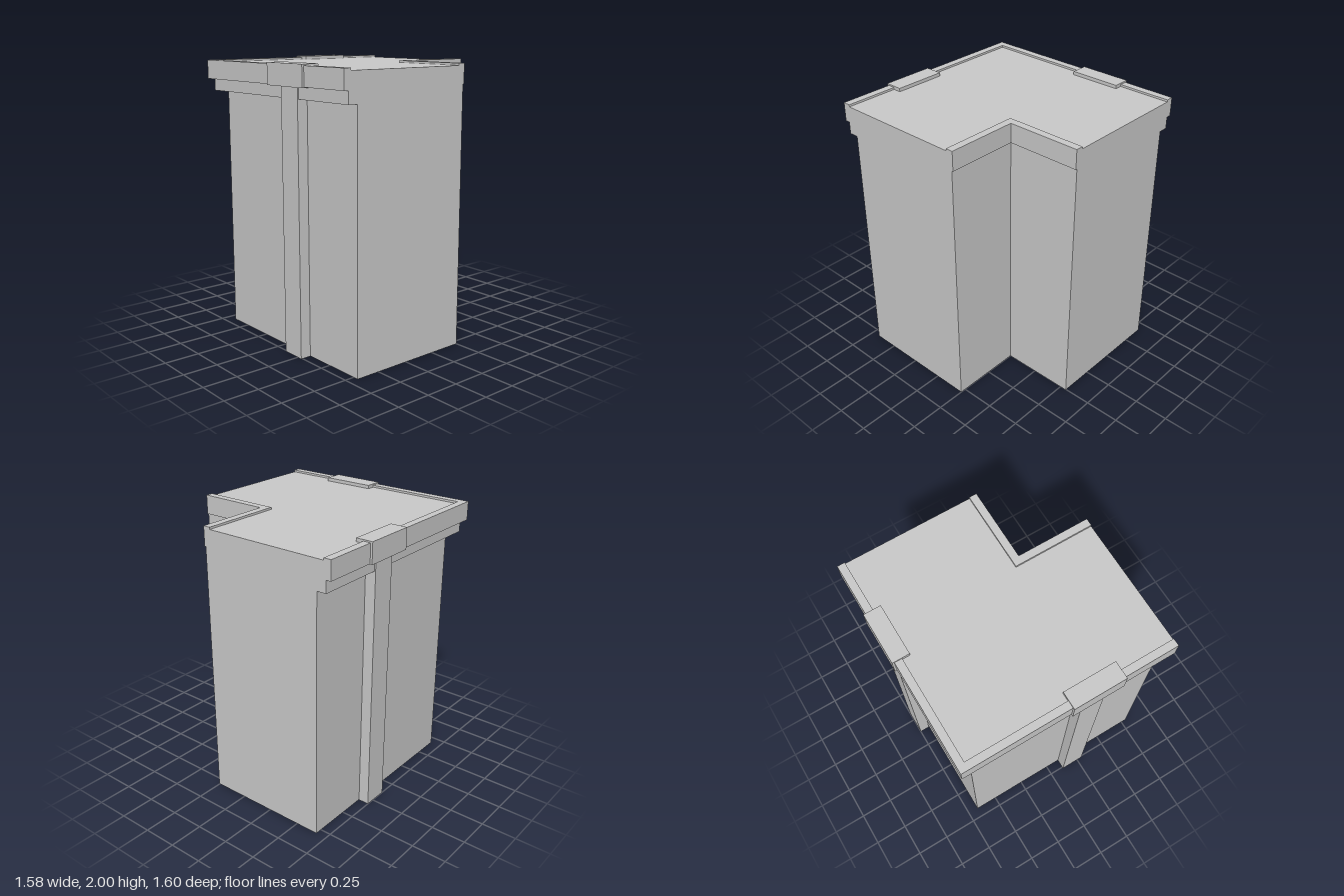
import * as THREE from 'three';

const material = new THREE.MeshStandardMaterial({ color: 0xcccccc, flatShading: true, side: THREE.DoubleSide });
const ROOF = 1.975;

// Wall and cornice profiles: [distance outward from the wall, height]
const street = [[0, 0], [0, 1.77], [0.07, 1.77], [0.07, 1.855], [0.105, 1.855], [0.105, 1.99], [0.05, 1.99], [0.05, ROOF]];
const court = [[0, 0], [0, 1.85], [0.01, 1.85], [0.01, 1.99], [-0.045, 1.99], [-0.045, ROOF]];

// Wall lines: [x, z, outward x, outward z], mitred at the corner
const streetPath = [[-0.67, -0.8, -1, 0], [-0.67, 0.68, -1, 1], [0.79, 0.68, 0, 1]];
const courtPath = [[0.79, -0.25, 0, -1], [0.255, -0.25, 1, -1], [0.255, -0.8, 1, 0]];

function add(group, name, geometry) {
  const mesh = new THREE.Mesh(geometry, material);
  mesh.name = name;
  group.add(mesh);
  return mesh;
}

// Sweeps a profile along a wall line
function sweep(profile, path) {
  const pos = [];
  const point = (i, j) => {
    const [x, z, ox, oz] = path[i];
    const [d, y] = profile[j];
    return [x + ox * d, y, z + oz * d];
  };
  for (let i = 0; i < path.length - 1; i++) {
    for (let j = 0; j < profile.length - 1; j++) {
      const a = point(i, j), b = point(i + 1, j), c = point(i + 1, j + 1), d = point(i, j + 1);
      pos.push(...a, ...b, ...c, ...a, ...c, ...d);
    }
  }
  const geometry = new THREE.BufferGeometry();
  geometry.setAttribute('position', new THREE.Float32BufferAttribute(pos, 3));
  geometry.computeVertexNormals();
  return geometry;
}

// Flat end wall between two profiles standing at -left and +right
function endWall(leftProfile, left, rightProfile, right) {
  const points = [
    ...leftProfile.map(([d, y]) => new THREE.Vector2(-left - d, y)),
    ...rightProfile.map(([d, y]) => new THREE.Vector2(right + d, y)).reverse(),
  ];
  return new THREE.ShapeGeometry(new THREE.Shape(points));
}

function box(group, name, [x0, x1], [y0, y1], [z0, z1]) {
  const mesh = add(group, name, new THREE.BoxGeometry(x1 - x0, y1 - y0, z1 - z0));
  mesh.position.set((x0 + x1) / 2, (y0 + y1) / 2, (z0 + z1) / 2);
}

export function createModel() {
  const group = new THREE.Group();
  group.name = 'cornerBuilding';

  // Outer and inner walls with their cornices
  add(group, 'streetWalls', sweep(street, streetPath));
  add(group, 'courtyardWalls', sweep(court, courtPath));

  // Plain end walls of the two wings
  const side = add(group, 'sideEndWall', endWall(street, 0.68, court, 0.25));
  side.rotation.y = Math.PI / 2;
  side.position.x = 0.79;
  const back = add(group, 'backEndWall', endWall(court, 0.255, street, 0.67));
  back.rotation.y = Math.PI;
  back.position.z = -0.8;

  // L-shaped roof, drawn with shape y = -z
  const outline = [[-0.72, -0.73], [0.79, -0.73], [0.79, 0.205], [0.21, 0.205], [0.21, 0.8], [-0.72, 0.8]];
  const roof = add(group, 'roof', new THREE.ShapeGeometry(new THREE.Shape(outline.map(p => new THREE.Vector2(...p)))));
  roof.rotation.x = -Math.PI / 2;
  roof.position.y = ROOF;

  // Pilasters and the blocks that crown them
  box(group, 'frontPilaster', [0.11, 0.29], [0, 1.852], [0.682, 0.76]);
  box(group, 'frontBlock', [0.01, 0.395], [1.85, 2], [0.67, 0.8]);
  box(group, 'sidePilaster', [-0.75, -0.672], [0, 1.852], [-0.31, -0.13]);
  box(group, 'sideBlock', [-0.79, -0.665], [1.85, 2], [-0.41, -0.03]);

  return group;
}
